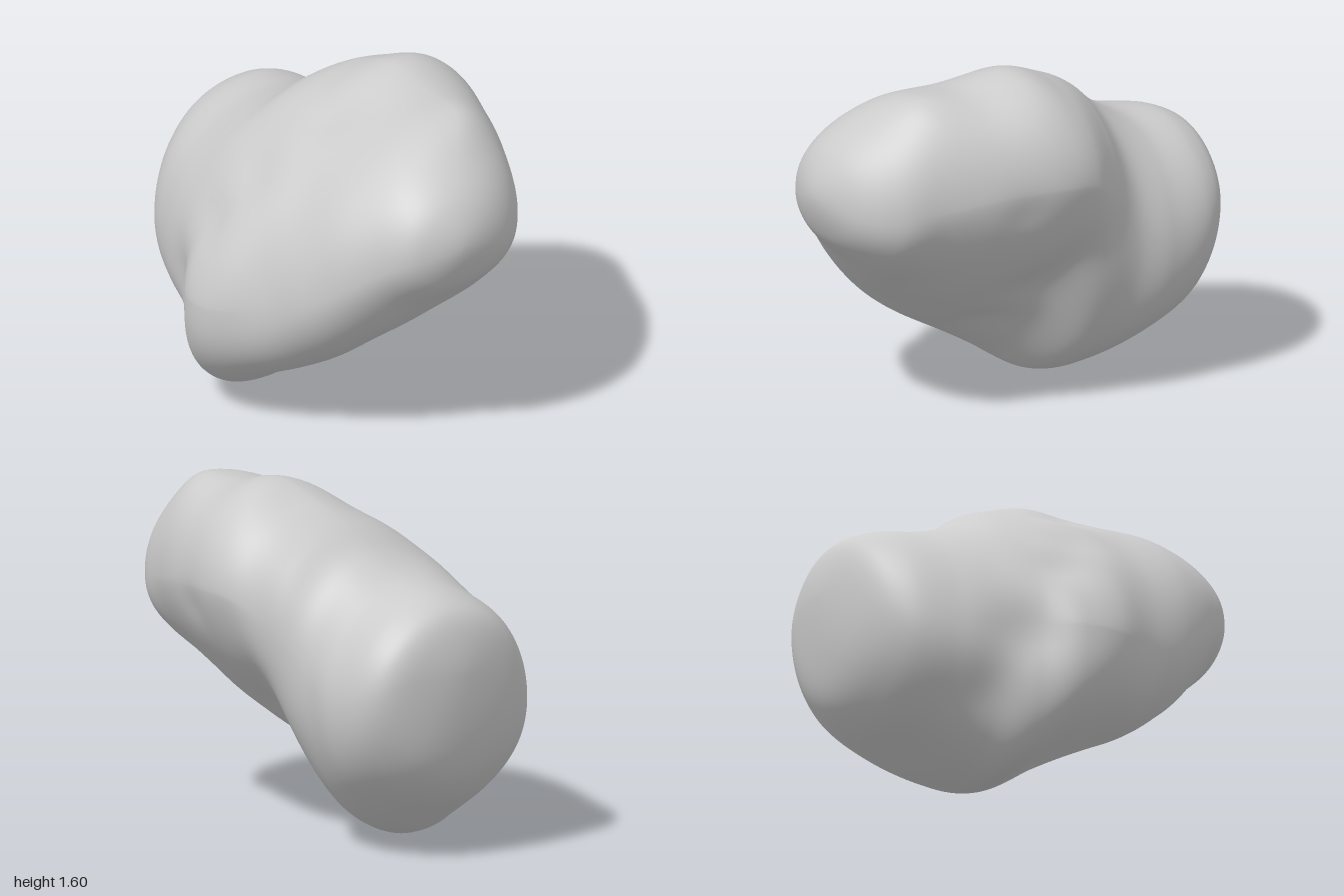
import * as THREE from 'three';
import { mergeVertices } from 'three/addons/utils/BufferGeometryUtils.js';

// Rounded end of the body, a section shrunk to one point
const tip = (z, x, y) => [z, x, y, x, y, x, y, x, y, 1, 1, 1];

// Cross-sections from back to front:
// z, leftmost x y, rightmost x y, top x y, bottom x y, flatness of upper-left, lower-left, lower-right
const SECTIONS = [
  tip(-1, 0.12, 0.86),
  [-0.95, -0.2, 0.78, 0.41, 0.84, 0.12, 1.09, 0.1, 0.47, 1, 1, 1],
  [-0.82, -0.39, 0.66, 0.55, 0.76, 0.12, 1.185, 0.06, 0.27, 1, 0.95, 1],
  [-0.6, -0.49, 0.61, 0.575, 0.72, 0.1, 1.23, 0, 0.13, 1, 0.9, 1],
  [-0.42, -0.55, 0.62, 0.555, 0.8, 0.14, 1.32, -0.08, 0.04, 1.05, 0.82, 1],
  [-0.27, -0.62, 0.61, 0.605, 0.97, 0.2, 1.44, -0.16, 0, 1.17, 0.78, 1.12],
  [-0.1, -0.71, 0.61, 0.7, 1.12, 0.25, 1.53, -0.22, 0.1, 1.3, 0.78, 1.38],
  [0.1, -0.7, 0.62, 0.71, 1.15, 0.27, 1.6, -0.25, 0.22, 1.3, 0.78, 1.35],
  [0.35, -0.56, 0.68, 0.645, 1.14, 0.28, 1.555, -0.25, 0.36, 1.1, 0.85, 1.25],
  [0.6, -0.45, 0.82, 0.545, 1.1, 0.26, 1.545, -0.15, 0.56, 1.05, 0.92, 1.15],
  [0.8, -0.3, 0.98, 0.46, 1.08, 0.14, 1.43, -0.02, 0.77, 1, 0.92, 0.87],
  [0.94, -0.16, 1.07, 0.3, 1.09, 0.07, 1.29, 0.04, 0.92, 1, 0.95, 0.9],
  tip(1, 0.05, 1.11),
];

// Shallow hollows: x, y, z, radius, depth
const HOLLOWS = [
  // neck on the right and its continuation underneath
  [0.52, 0.74, -0.1, 0.15, 0.02],
  [0.32, 0.6, -0.02, 0.2, 0.05],
  [0.05, 0.38, 0.05, 0.15, 0.04],
  // valley over the crest and down the left
  [-0.06, 1.42, 0.13, 0.15, 0.045],
  [-0.4, 1.17, 0.03, 0.12, 0.015],
  [-0.54, 0.94, -0.12, 0.13, 0.03],
  // neck on the left, running down behind the side bulge
  [-0.55, 0.58, -0.3, 0.17, 0.035],
  [-0.42, 0.3, -0.45, 0.17, 0.035],
  // dent in the right flank
  [0.64, 1.05, 0.25, 0.1, 0.015],
];

// Reflecting through the tip keeps both ends rounded
function mirrored(end, next) {
  return next.map((v, k) => (k === 0 || k > 8 ? v : 2 * end[k] - v));
}

function catmull(a, b, c, d, t) {
  return b + 0.5 * t * (c - a + t * (2 * a - 5 * b + 4 * c - d + t * (3 * (b - c) + d - a)));
}

function sectionAt(u) {
  const last = SECTIONS.length - 1;
  const i = Math.min(Math.floor(u), last - 1);
  const b = SECTIONS[i];
  const c = SECTIONS[i + 1];
  const a = i > 0 ? SECTIONS[i - 1] : mirrored(b, c);
  const d = i + 2 <= last ? SECTIONS[i + 2] : mirrored(c, b);
  return b.map((_, k) => catmull(a[k], b[k], c[k], d[k], u - i));
}

// Four quarter curves joined at the extremes of a section
function outlinePoint(s, angle) {
  const [z, xl, yl, xr, yr, xt, yt, xb, yb, upperLeft, lowerLeft, lowerRight] = s;
  const cos = Math.cos(angle);
  const sin = Math.sin(angle);
  const [ex, ey] = cos >= 0 ? [xr, yr] : [xl, yl];
  const [px, py] = sin >= 0 ? [xt, yt] : [xb, yb];
  const rightFlatness = sin >= 0 ? 1 : lowerRight;
  const leftFlatness = sin >= 0 ? upperLeft : lowerLeft;
  const e = cos >= 0 ? rightFlatness : leftFlatness;
  const c = Math.pow(Math.abs(cos), e);
  const h = Math.pow(Math.abs(sin), e);
  return new THREE.Vector3(px + (ex - px) * c, ey + (py - ey) * h, z);
}

// Hollows and a gentle surface unevenness
function weather(p) {
  const inward = new THREE.Vector3(0, 0.8, 0).sub(p).normalize();
  let depth = 0.006 * Math.sin(9 * p.x + 4 * p.z) * Math.sin(8 * p.y + 1) * Math.sin(10 * p.z + 3 * p.x);
  for (const [x, y, z, r, amount] of HOLLOWS) {
    const d2 = (p.x - x) ** 2 + (p.y - y) ** 2 + (p.z - z) ** 2;
    depth += amount * Math.exp(-d2 / (r * r));
  }
  return p.addScaledVector(inward, depth);
}

function rockGeometry(rings, sides) {
  const positions = [];
  const indices = [];
  for (let i = 0; i <= rings; i++) {
    const s = sectionAt((i / rings) * (SECTIONS.length - 1));
    for (let j = 0; j < sides; j++) {
      const p = weather(outlinePoint(s, (j / sides) * Math.PI * 2));
      positions.push(p.x, p.y, p.z);
      const a = i * sides + j;
      const b = i * sides + ((j + 1) % sides);
      if (i > 0 && i < rings) indices.push(a, b, a + sides);
      if (i < rings - 1) indices.push(b, b + sides, a + sides);
    }
  }
  const geometry = new THREE.BufferGeometry();
  geometry.setAttribute('position', new THREE.Float32BufferAttribute(positions, 3));
  geometry.setIndex(indices);
  const merged = mergeVertices(geometry, 1e-5);
  merged.computeVertexNormals();
  return merged;
}

export function createModel() {
  const group = new THREE.Group();
  group.name = 'twoLobedRock';
  const material = new THREE.MeshStandardMaterial({ color: 0xcccccc });
  const rock = new THREE.Mesh(rockGeometry(120, 128), material);
  rock.name = 'rockBody';
  group.add(rock);
  return group;
}
